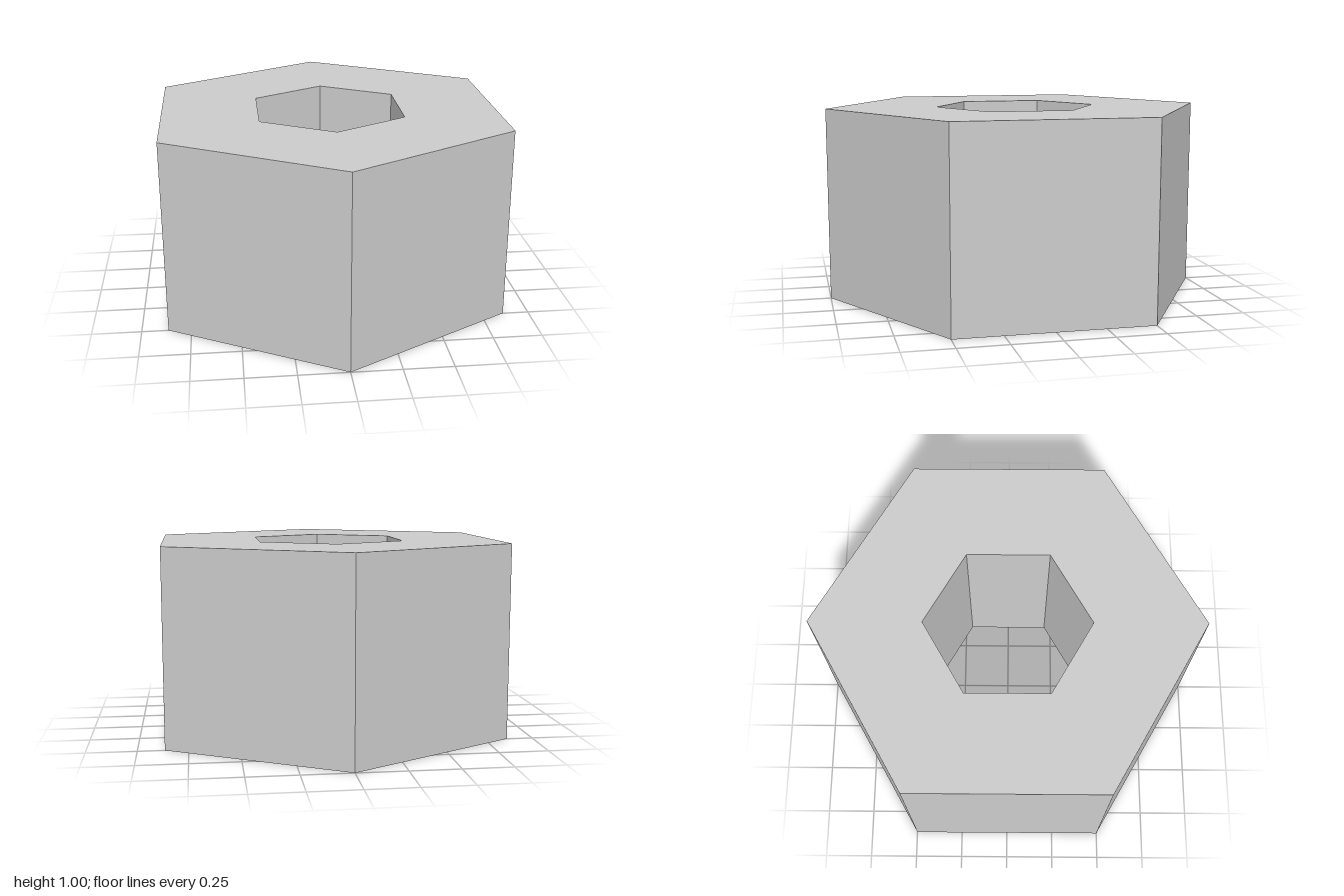
import * as THREE from 'three';

// Corners of a regular hexagon with one corner pointing along z
function hexagon(radius) {
  return Array.from({ length: 6 }, (_, i) => {
    const a = Math.PI / 2 + (i * Math.PI) / 3;
    return new THREE.Vector2(radius * Math.cos(a), radius * Math.sin(a));
  });
}

export function createModel() {
  const group = new THREE.Group();
  group.name = 'hexNut';

  // Hexagonal block with a hexagonal through hole
  const shape = new THREE.Shape(hexagon(1));
  shape.holes.push(new THREE.Path(hexagon(0.427).reverse()));
  const geometry = new THREE.ExtrudeGeometry(shape, { depth: 1, bevelEnabled: false });
  geometry.rotateX(-Math.PI / 2);

  const body = new THREE.Mesh(
    geometry,
    new THREE.MeshStandardMaterial({ color: 0xcccccc, flatShading: true })
  );
  body.name = 'nutBody';
  group.add(body);
  return group;
}
